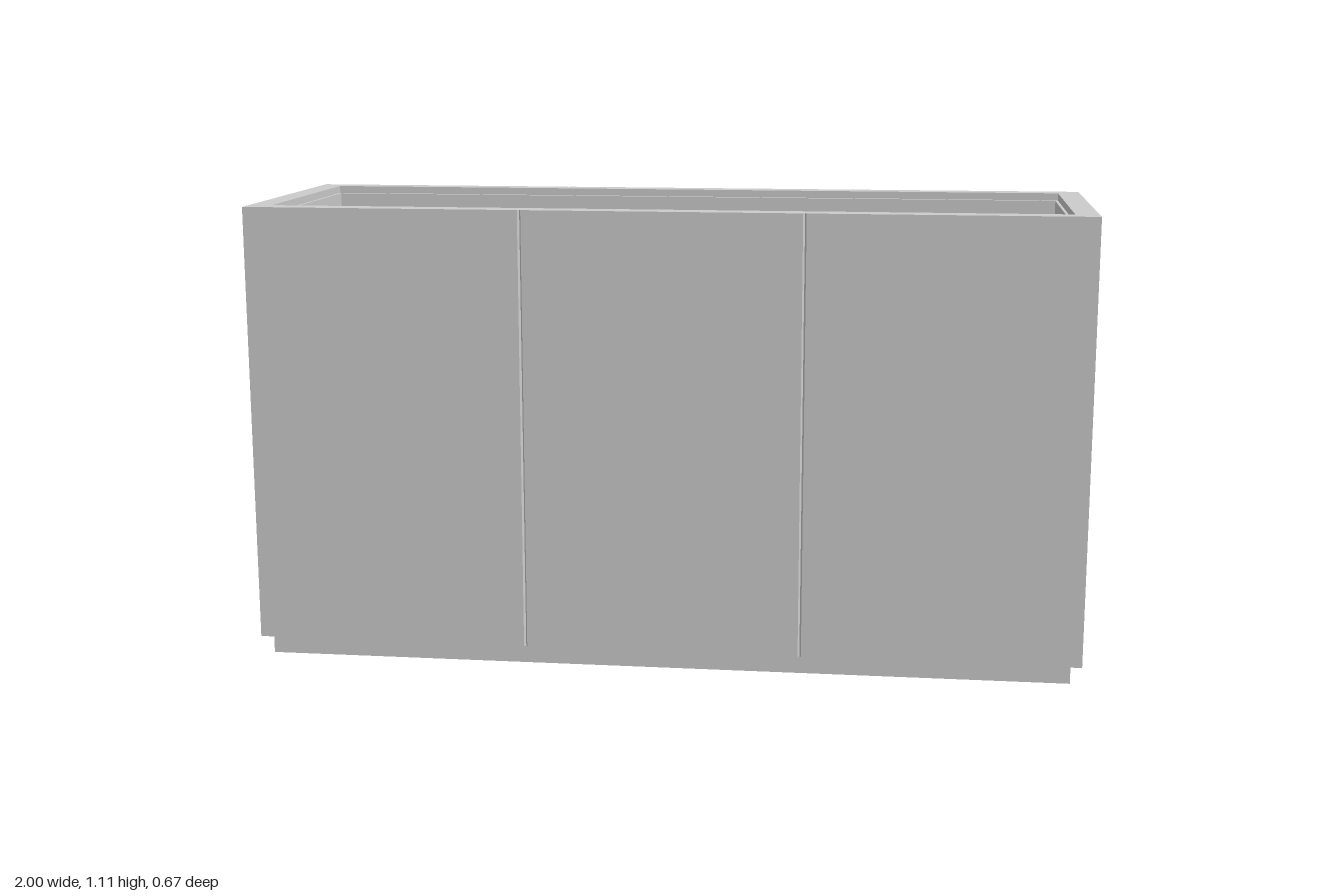
import * as THREE from 'three';

const material = new THREE.MeshStandardMaterial({ color: 0xcccccc, flatShading: true });

// Rectangular outline, centred on the origin
function rectangle(Target, hx, hz) {
  const r = new Target();
  r.moveTo(-hx, -hz);
  r.lineTo(hx, -hz);
  r.lineTo(hx, hz);
  r.lineTo(-hx, hz);
  r.closePath();
  return r;
}

// Outer outline with narrow V-joints cut between the cladding panels
function jointedOutline(hx, hz, w, d) {
  const third = hx / 3;
  const points = [[-hx, -hz]];
  for (const x of [-third, third]) points.push([x - w, -hz], [x, -hz + d], [x + w, -hz]);
  points.push([hx, -hz], [hx, -w], [hx - d, 0], [hx, w], [hx, hz]);
  for (const x of [third, -third]) points.push([x + w, hz], [x, hz - d], [x - w, hz]);
  points.push([-hx, hz], [-hx, w], [-hx + d, 0], [-hx, -w]);
  return new THREE.Shape(points.map(([x, z]) => new THREE.Vector2(x, z)));
}

// Upright extrusion of a plan shape from y0 to y1
function upright(name, shape, y0, y1) {
  const geometry = new THREE.ExtrudeGeometry(shape, { depth: y1 - y0, bevelEnabled: false });
  geometry.rotateX(-Math.PI / 2).translate(0, y0, 0);
  const mesh = new THREE.Mesh(geometry, material);
  mesh.name = name;
  return mesh;
}

export function createModel() {
  const group = new THREE.Group();
  group.name = 'planterBox';

  // Recessed plinth
  group.add(upright('plinth', rectangle(THREE.Shape, 0.975, 0.31), 0, 0.043));

  // Panelled outer walls with the flat rim
  const walls = jointedOutline(1, 0.333, 0.004, 0.007);
  walls.holes.push(rectangle(THREE.Path, 0.945, 0.28));
  group.add(upright('outerWalls', walls, 0.048, 1.11));

  // Inner liner, stopping just below the rim
  const liner = rectangle(THREE.Shape, 0.945, 0.28);
  liner.holes.push(rectangle(THREE.Path, 0.938, 0.266));
  group.add(upright('liner', liner, 0.048, 1.092));

  // Floor of the trough
  group.add(upright('floor', rectangle(THREE.Shape, 0.942, 0.275), 0.043, 0.06));

  return group;
}
